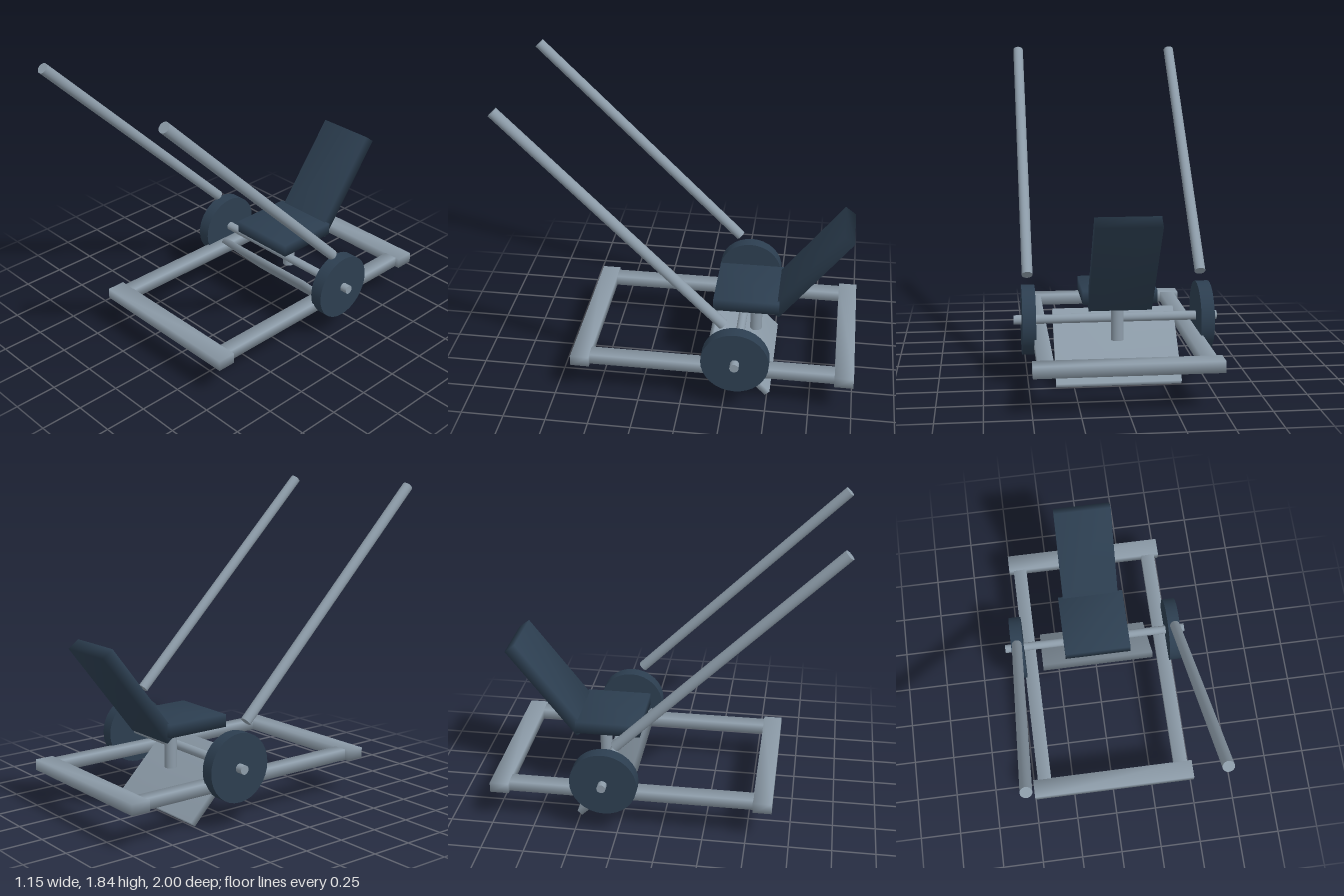
import * as THREE from 'three';
import { mergeVertices } from 'three/addons/utils/BufferGeometryUtils.js';

const steel = new THREE.MeshStandardMaterial({ color: 0x8c9ba8 });
const dark = new THREE.MeshStandardMaterial({ color: 0x2c3e50 });

// Box with shared corners, so its shading is smooth across the edges
function smoothBox(w, h, d) {
  const g = new THREE.BoxGeometry(w, h, d);
  g.deleteAttribute('normal');
  g.deleteAttribute('uv');
  const merged = mergeVertices(g);
  merged.computeVertexNormals();
  return merged;
}

export function createModel() {
  const model = new THREE.Group();
  model.name = 'wheeledCultivator';

  const add = (name, geometry, material, [x, y, z], tilt = 0, roll = 0) => {
    const mesh = new THREE.Mesh(geometry, material);
    mesh.name = name;
    mesh.position.set(x, y, z);
    mesh.rotation.set(THREE.MathUtils.degToRad(tilt), 0, THREE.MathUtils.degToRad(roll));
    model.add(mesh);
  };
  const rod = (r, length) => new THREE.CylinderGeometry(r, r, length, 32);

  // Flat rectangular frame: two cross bars joined by two side bars
  add('frontCrossBar', smoothBox(0.995, 0.063, 0.11), steel, [0, 0.247, 0.592]);
  add('rearCrossBar', smoothBox(0.995, 0.063, 0.11), steel, [0, 0.247, -0.945]);

  // Mirrored side bars, wheels and handles
  for (const [side, s] of [['left', 1], ['right', -1]]) {
    add(side + 'SideBar', smoothBox(0.083, 0.063, 1.43), steel, [s * 0.427, 0.247, -0.176]);
    add(side + 'Wheel', rod(0.196, 0.075), dark, [s * 0.495, 0.348, -0.32], 0, 90);
    add(side + 'Handle', rod(0.031, 1.735), steel, [s * 0.495, 1.202, 0.364], 45);
  }
  add('axle', rod(0.026, 1.154), steel, [0, 0.348, -0.322], 0, 90);

  // Slanted soil blade below the axle
  add('blade', smoothBox(0.7, 0.485, 0.038), steel, [0, 0.185, -0.332], 45);

  // Seat with its post and reclined back
  add('seatPost', rod(0.036, 0.26), steel, [0, 0.37, -0.4]);
  add('seat', smoothBox(0.408, 0.075, 0.387), dark, [0, 0.518, -0.351]);
  add('seatBack', smoothBox(0.348, 0.67, 0.077), dark, [0, 0.733, -0.718], -37.5);

  return model;
}
